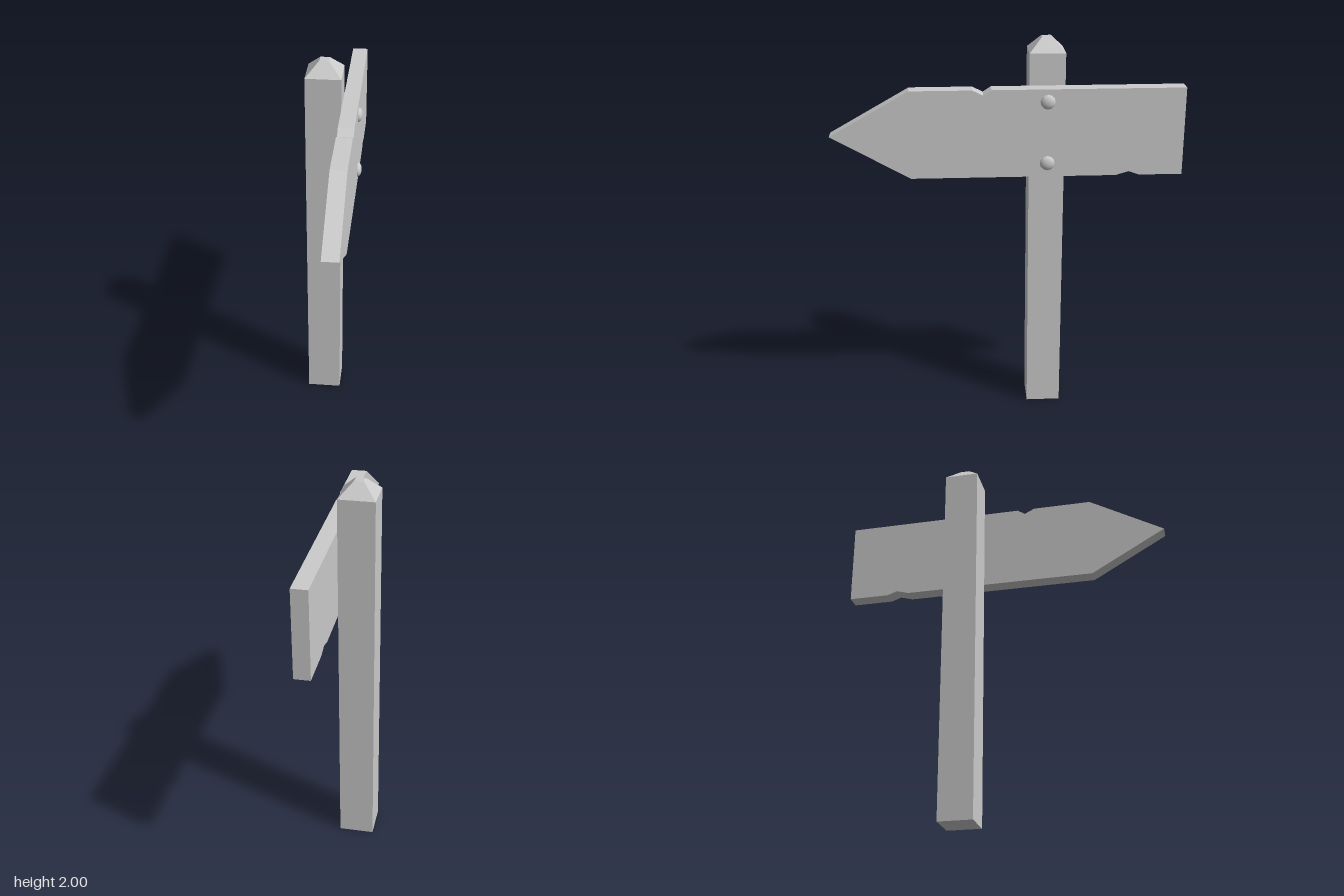
import * as THREE from 'three';

export function createModel() {
  const group = new THREE.Group();
  const flat = new THREE.MeshStandardMaterial({ color: 0xcccccc, flatShading: true });
  const smooth = new THREE.MeshStandardMaterial({ color: 0xcccccc });
  const add = (name, geometry, material, x, y, z) => {
    const mesh = new THREE.Mesh(geometry, material);
    mesh.name = name;
    mesh.position.set(x, y, z);
    group.add(mesh);
  };

  const postX = -0.052, postZ = -0.197, postW = 0.178;
  const shaftH = 1.932, capH = 0.068, capTopW = 0.046;
  const boardX = postX + postW / 2, boardT = 0.079;

  // Square post with a tapered cap, built as one four-sided lathe
  const r = Math.SQRT1_2;
  const profile = [
    [0, 0], [postW * r, 0], [postW * r, shaftH],
    [capTopW * r, shaftH + capH], [0, shaftH + capH],
  ].map(([x, y]) => new THREE.Vector2(x, y));
  add('post', new THREE.LatheGeometry(profile, 4, Math.PI / 4), flat, postX, 0, postZ);

  // Arrow board outline as (z, y), with a chip in the upper and lower edges
  const outline = [
    [0.87, 1.554], [0.48, 1.333], [-0.537, 1.333], [-0.603, 1.352], [-0.655, 1.333],
    [-0.87, 1.333], [-0.87, 1.775], [0.08, 1.775], [0.12, 1.749], [0.173, 1.775], [0.48, 1.775],
  ].map(([z, y]) => new THREE.Vector2(-z, y));
  const board = new THREE.ExtrudeGeometry(new THREE.Shape(outline), { depth: boardT, bevelEnabled: false });
  board.rotateY(Math.PI / 2);
  add('arrowBoard', board, flat, boardX, 0, 0);

  // Shallow domed bolt heads on the outer face
  const dome = new THREE.SphereGeometry(0.037, 12, 5, 0, Math.PI * 2, 0, Math.PI / 2);
  dome.rotateZ(-Math.PI / 2).scale(0.57, 1, 1);
  [['upperBolt', 1.712], ['lowerBolt', 1.402]].forEach(([name, y]) =>
    add(name, dome, smooth, boardX + boardT, y, postZ + 0.003));

  return group;
}
